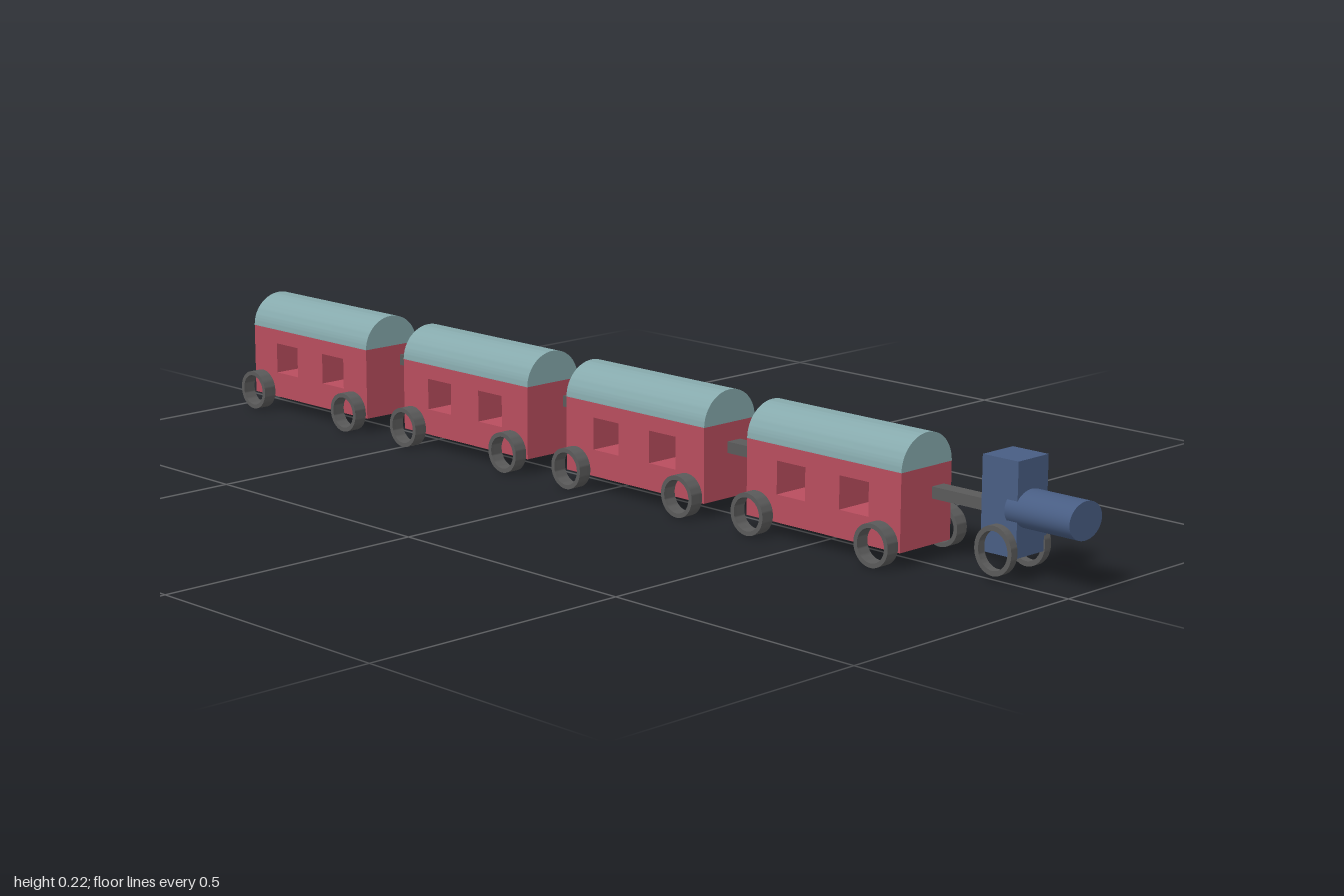
import * as THREE from 'three';
import { toCreasedNormals } from 'three/addons/utils/BufferGeometryUtils.js';

const mat = (color) => new THREE.MeshStandardMaterial({ color });
const red = mat(0xb84d5e), teal = mat(0x86a9ac), blue = mat(0x485d83), dark = mat(0x5a5a5a);

function add(parent, name, geometry, material, x = 0, y = 0, z = 0) {
  const mesh = new THREE.Mesh(geometry, material);
  mesh.name = name;
  mesh.position.set(x, y, z);
  parent.add(mesh);
  return mesh;
}

// Box given by its limits on each axis
function addBox(parent, name, material, [x0, x1], [y0, y1], [z0, z1]) {
  return add(parent, name, new THREE.BoxGeometry(x1 - x0, y1 - y0, z1 - z0), material,
    (x0 + x1) / 2, (y0 + y1) / 2, (z0 + z1) / 2);
}

const extrude = (shape, depth) => toCreasedNormals(
  new THREE.ExtrudeGeometry(shape, { depth, bevelEnabled: false, curveSegments: 32 }), 0.6);

function rect(path, x0, y0, x1, y1) {
  path.moveTo(x0, y0);
  path.lineTo(x1, y0);
  path.lineTo(x1, y1);
  path.lineTo(x0, y1);
  path.closePath();
  return path;
}

// Open hoop wheel, axis along x, starting at x = 0
function hoop(rz, ry, width) {
  const shape = new THREE.Shape();
  shape.absellipse(0, 0, rz, ry, 0, Math.PI * 2, false);
  const hole = new THREE.Path();
  hole.absellipse(0, 0, rz * 0.79, ry * 0.79, 0, Math.PI * 2, true);
  shape.holes.push(hole);
  return extrude(shape, width).rotateY(Math.PI / 2);
}

// Carriage side profile with two windows running right through
function bodyGeometry() {
  const shape = rect(new THREE.Shape(), -0.171, 0.027, 0.171, 0.16);
  for (const s of [-0.07, 0.07]) {
    shape.holes.push(rect(new THREE.Path(), s - 0.032, 0.075, s + 0.032, 0.133));
  }
  return extrude(shape, 0.124).rotateY(Math.PI / 2).translate(-0.062, 0, 0);
}

// Half-round roof
function roofGeometry() {
  const shape = new THREE.Shape();
  shape.absellipse(0, 0.16, 0.062, 0.058, 0, Math.PI, false);
  shape.closePath();
  return extrude(shape, 0.342).translate(0, 0, -0.171);
}

export function createModel() {
  const train = new THREE.Group();
  train.name = 'train';

  // Engine
  const engine = new THREE.Group();
  engine.name = 'engine';
  train.add(engine);
  addBox(engine, 'cab', blue, [0.003, 0.078], [0.042, 0.201], [0.818, 0.891]);
  const boiler = new THREE.CylinderGeometry(1, 1, 0.13, 48).rotateX(Math.PI / 2).scale(0.041, 0.032, 1);
  add(engine, 'boiler', boiler, blue, 0.0375, 0.119, 0.935);
  const engineWheel = hoop(0.038, 0.0415, 0.0155);
  for (const x of [-0.0125, 0.072]) add(engine, 'engineWheel', engineWheel, dark, x, 0.0515, 0.856);

  // Carriages
  const body = bodyGeometry(), roof = roofGeometry();
  const leftWheel = hoop(0.037, 0.0355, 0.0245), rightWheel = hoop(0.037, 0.037, 0.0255);
  [0.534, 0.091, -0.354, -0.806].forEach((z) => {
    const carriage = new THREE.Group();
    carriage.name = 'carriage';
    carriage.position.z = z;
    train.add(carriage);
    add(carriage, 'body', body, red);
    add(carriage, 'roof', roof, teal);
    for (const wz of [0.148, -0.157]) add(carriage, 'leftWheel', leftWheel, dark, 0.063, 0.0455, wz);
    for (const wz of [0.131, -0.146]) add(carriage, 'rightWheel', rightWheel, dark, -0.0885, 0.037, wz);
  });

  // Coupling bars: x limits, y limits, z limits
  [
    [[0.014, 0.043], [0.105, 0.125], [0.7, 0.82]],
    [[-0.005, 0.026], [0.107, 0.127], [0.258, 0.366]],
    [[0.02, 0.042], [0.113, 0.133], [-0.177, -0.076]],
    [[0.021, 0.052], [0.12, 0.14], [-0.638, -0.522]],
  ].forEach(([x, y, z]) => addBox(train, 'coupling', dark, x, y, z));

  return train;
}
